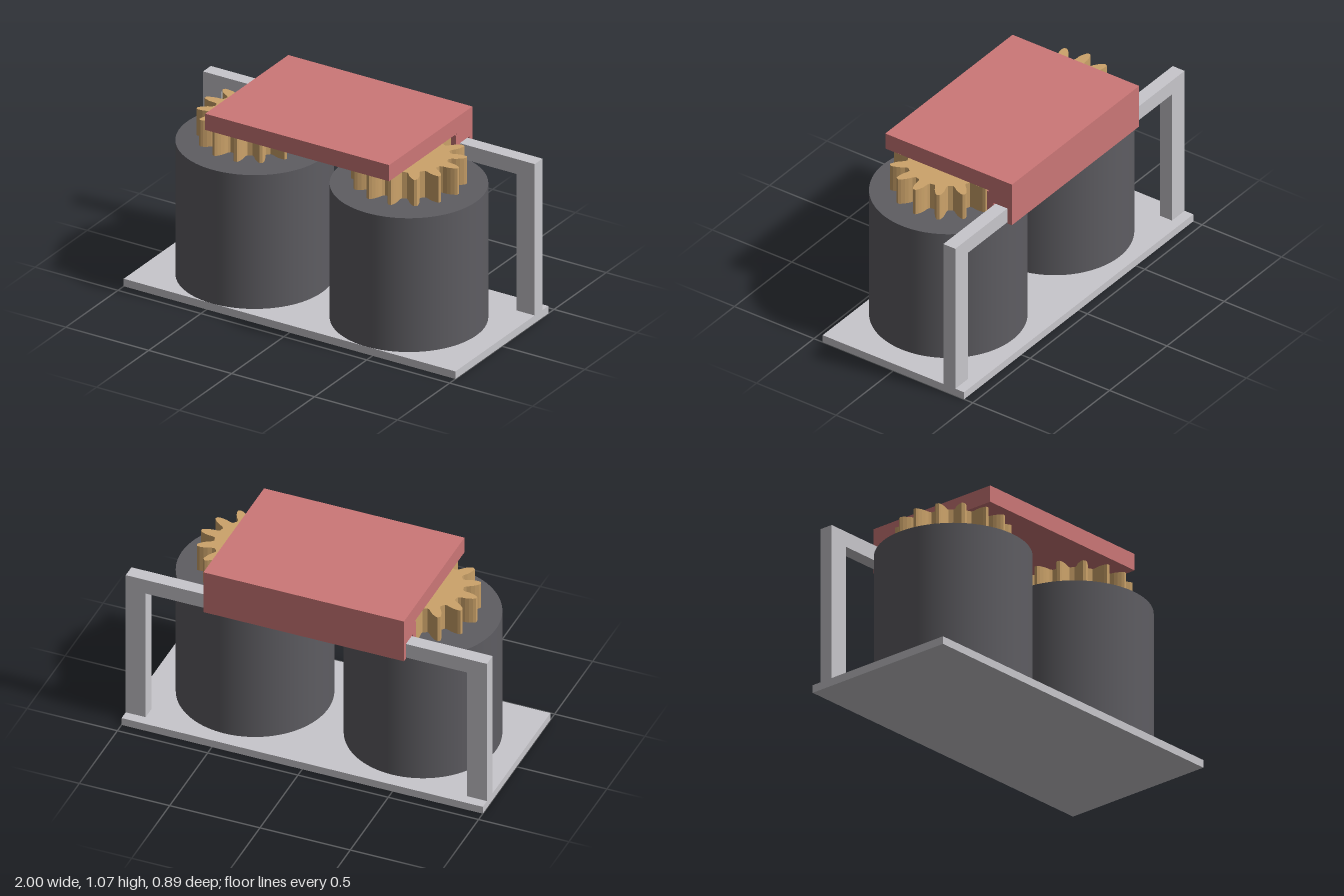
import * as THREE from 'three';

const material = (name, color) => {
  const m = new THREE.MeshStandardMaterial({ color });
  m.name = name;
  return m;
};

// Extrude a closed outline of [x, -z] points upwards from y0 to y1
function extrudeUp(points, y0, y1) {
  const shape = new THREE.Shape(points.map(([x, y]) => new THREE.Vector2(x, y)));
  const geo = new THREE.ExtrudeGeometry(shape, { depth: y1 - y0, bevelEnabled: false });
  return geo.rotateX(-Math.PI / 2).translate(0, y0, 0);
}

// Half-profile of one gear tooth: [radius, half width]
const TOOTH = [[0.207, 0.034], [0.222, 0.028], [0.245, 0.027], [0.265, 0.023], [0.284, 0.016], [0.297, 0.008]];

function gearOutline(teeth) {
  const pts = [];
  for (let i = 0; i < teeth; i++) {
    const a = (i / teeth) * Math.PI * 2;
    const c = Math.cos(a), s = Math.sin(a);
    const add = (r, w) => pts.push([r * c - w * s, r * s + w * c]);
    TOOTH.forEach(([r, w]) => add(r, -w));
    [...TOOTH].reverse().forEach(([r, w]) => add(r, w));
  }
  return pts;
}

export function createModel() {
  const model = new THREE.Group();
  const grey = material('light grey frame', 0xc8c7cc);
  const dark = material('dark grey motor', 0x5e5d62);
  const gold = material('gold gear', 0xcca36a);
  const red = material('red carriage', 0xcc7777);

  const add = (name, geo, mat, x = 0, y = 0, z = 0) => {
    const mesh = new THREE.Mesh(geo, mat);
    mesh.name = name;
    mesh.position.set(x, y, z);
    model.add(mesh);
    return mesh;
  };

  // Base plate and the rail frame standing on it
  add('basePlate', new THREE.BoxGeometry(2, 0.043, 0.89), grey, 0, 0.0215, 0);
  const frame = new THREE.Shape([
    [-1, 0.043], [-0.89, 0.043], [-0.89, 0.82], [0.89, 0.82],
    [0.89, 0.043], [1, 0.043], [1, 0.905], [-1, 0.905],
  ].map(([x, y]) => new THREE.Vector2(x, y)));
  add('railFrame', new THREE.ExtrudeGeometry(frame, { depth: 0.075, bevelEnabled: false }), grey, 0, 0, -0.39);

  // Two motors, each with a gear above it
  const motorGeo = new THREE.CylinderGeometry(0.405, 0.405, 0.762, 96);
  const gearGeo = extrudeUp(gearOutline(14), 0.82, 0.97);
  for (const [side, x] of [['left', 0.465], ['right', -0.465]]) {
    add(side + 'Motor', motorGeo, dark, x, 0.424, 0.04);
    add(side + 'Gear', gearGeo, gold, x, 0, 0.04);
  }

  // Carriage: top plate with a slotted back that straddles the rail, as [-z, y]
  const profile = new THREE.Shape([
    [-0.372, 0.978], [0.278, 0.978], [0.278, 0.82], [0.308, 0.82], [0.308, 0.912],
    [0.397, 0.912], [0.397, 0.82], [0.425, 0.82], [0.425, 1.07], [-0.372, 1.07],
  ].map(([u, y]) => new THREE.Vector2(u, y)));
  const carriage = new THREE.ExtrudeGeometry(profile, { depth: 1.11, bevelEnabled: false });
  add('carriage', carriage.rotateY(Math.PI / 2), red, -0.555, 0, 0);

  // Rack teeth on the carriage's inner face, meshing with the gears
  const pitch = 0.11625;
  const rack = [[-0.555, 0.279]];
  rack.push([0.555, 0.279], [0.555, 0.268]);
  for (let i = 4; i >= -4; i--) {
    const x = i * pitch;
    rack.push([x + 0.041, 0.268], [x + 0.015, 0.185], [x - 0.015, 0.185], [x - 0.041, 0.268]);
  }
  rack.push([-0.555, 0.268]);
  add('rackTeeth', extrudeUp(rack.reverse(), 0.82, 0.97), red);

  return model;
}
